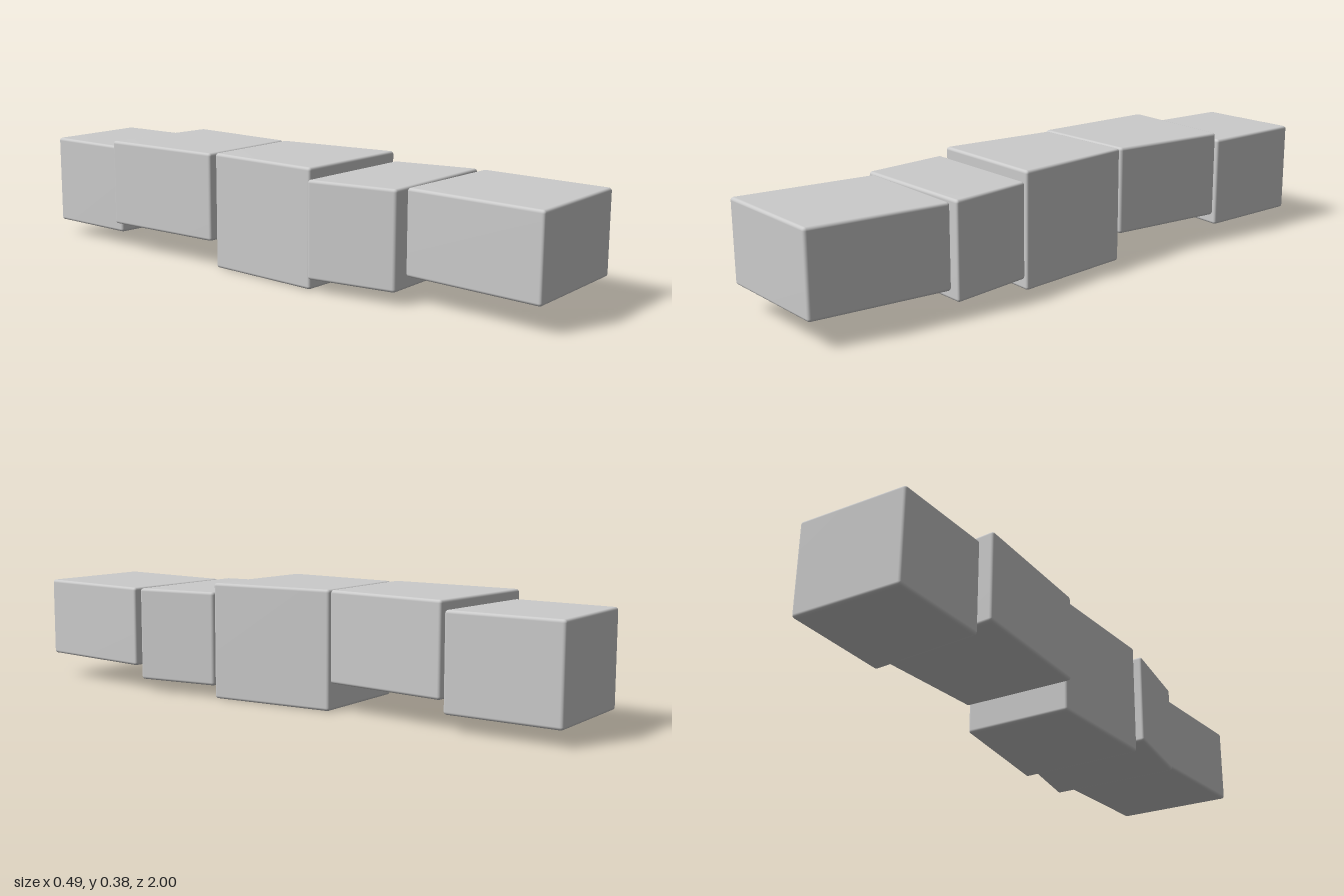
import * as THREE from 'three';
import { RoundedBoxGeometry } from 'three/addons/geometries/RoundedBoxGeometry.js';
import { mergeVertices } from 'three/addons/utils/BufferGeometryUtils.js';

const RADIUS = 0.01;

// Each stone: bottom and top height, then plan corners [x, z] in the order
// back right, back left, front left, front right (left is +x)
const STONES = [
  { y: [0.05, 0.355], plan: [[-0.16, -1], [0.205, -1], [0.205, -0.625], [-0.175, -0.66]] },
  { y: [0.09, 0.382], plan: [[-0.215, -0.655], [0.205, -0.615], [0.165, -0.2], [-0.215, -0.2]] },
  { y: [0, 0.382], plan: [[-0.195, -0.195], [0.165, -0.195], [0.207, 0.235], [-0.227, 0.22]] },
  { y: [0.04, 0.35], plan: [[-0.25, 0.227], [0.205, 0.24], [0.247, 0.527], [-0.215, 0.527]] },
  { y: [0.083, 0.35], plan: [[-0.17, 0.533], [0.247, 0.55], [0.207, 1], [-0.215, 1]] },
];

// Rounded box whose plan is warped to the four given corners
function stoneGeometry({ y: [y0, y1], plan: [a, b, c, d] }) {
  const w = (b[0] - a[0] + c[0] - d[0]) / 2;
  const depth = (d[1] - a[1] + c[1] - b[1]) / 2;
  const box = new RoundedBoxGeometry(w, y1 - y0, depth, 3, RADIUS);
  const pos = box.attributes.position;
  for (let i = 0; i < pos.count; i++) {
    const u = pos.getX(i) / w + 0.5;
    const v = pos.getZ(i) / depth + 0.5;
    const at = (k) => THREE.MathUtils.lerp(
      THREE.MathUtils.lerp(a[k], b[k], u), THREE.MathUtils.lerp(d[k], c[k], u), v);
    pos.setXYZ(i, at(0), pos.getY(i) + (y0 + y1) / 2, at(1));
  }
  // Area-weighted normals keep the broad faces flat and the edges soft
  box.deleteAttribute('normal');
  box.deleteAttribute('uv');
  const geometry = mergeVertices(box, 1e-5);
  geometry.computeVertexNormals();
  return geometry;
}

export function createModel() {
  const group = new THREE.Group();
  group.name = 'stoneRow';
  const material = new THREE.MeshStandardMaterial({ color: 0xcccccc });
  STONES.forEach((stone, i) => {
    const mesh = new THREE.Mesh(stoneGeometry(stone), material);
    mesh.name = `stone${i + 1}`;
    group.add(mesh);
  });
  return group;
}
